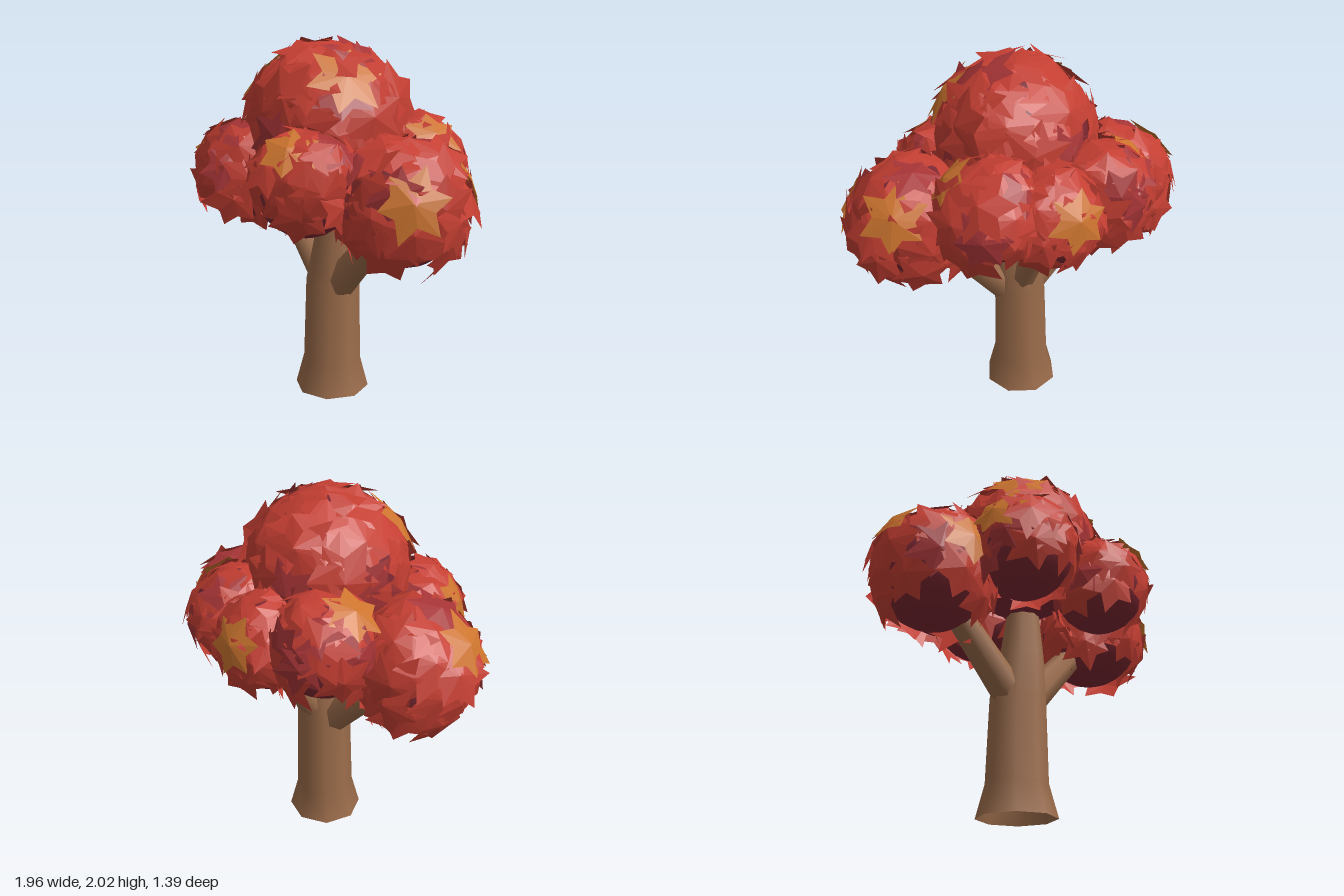
import * as THREE from 'three';

// Small seeded random generator
function seeded(seed) {
  let s = seed;
  return () => {
    s = (s * 16807) % 2147483647;
    return s / 2147483647;
  };
}

const V = (x, y, z) => new THREE.Vector3(x, y, z);
const material = (color, extra = {}) => new THREE.MeshStandardMaterial({ color, ...extra });

const bark = material(0x9a6b4a, { side: THREE.DoubleSide });
const foliageCore = material(0x7d2832);
const leafOptions = { flatShading: true, side: THREE.DoubleSide };
const redLeaf = material(0xc43e32, leafOptions);
const crimsonLeaf = material(0xa63436, leafOptions);
const orangeLeaf = material(0xcc742e, leafOptions);

// Adds one star-shaped leaf, curved over a ball of radius R, to a triangle list
function addLeaf(out, dir, R, size, rand, tilt) {
  const points = 6;
  const normal = dir.clone();
  // leaves below the middle hang down like a skirt
  if (normal.y < 0) normal.y *= 0.45;
  normal.normalize()
    .add(V(rand() - 0.5, rand() - 0.5, rand() - 0.5).multiplyScalar(tilt)).normalize();
  const turn = new THREE.Quaternion().setFromUnitVectors(V(0, 1, 0), normal);
  const spin = rand() * Math.PI * 2;
  const base = dir.clone().multiplyScalar(R);
  const rim = [];
  for (let i = 0; i < points * 2; i++) {
    const tip = i % 2 === 0;
    const a = (size / R) * (tip ? 0.85 + rand() * 0.3 : 0.58);
    const b = spin + (i / (points * 2)) * Math.PI * 2;
    const sag = 0.85 * R * (1 - Math.cos(a)) + (tip ? 0 : 0.012);
    const p = V(Math.cos(b) * Math.sin(a) * R, -sag, Math.sin(b) * Math.sin(a) * R);
    rim.push(p.applyQuaternion(turn).add(base));
  }
  rim.forEach((p, i) => {
    const q = rim[(i + 1) % rim.length];
    out.push(...base.toArray(), ...q.toArray(), ...p.toArray());
  });
}

function leafMesh(name, positions, mat) {
  const geo = new THREE.BufferGeometry();
  geo.setAttribute('position', new THREE.Float32BufferAttribute(positions, 3));
  geo.computeVertexNormals();
  const mesh = new THREE.Mesh(geo, mat);
  mesh.name = name;
  return mesh;
}

// Round clump: inner ball, spiral of red leaves, a few chosen orange leaves
function makeClump({ name, at, r, count, size, low, orange }, index) {
  const rand = seeded(index * 977 + 131);
  const group = new THREE.Group();
  group.name = name;
  group.position.set(...at);

  const core = new THREE.Mesh(new THREE.SphereGeometry(r * 0.86, 20, 14), foliageCore);
  core.name = 'foliageCore';
  group.add(core);

  const red = [], crimson = [], accent = [];
  for (let i = 0; i < count; i++) {
    const y = 1 - ((i + 0.5) / count) * (1 - low);
    const a = i * 2.39996 + rand() * 0.4;
    const h = Math.sqrt(1 - y * y);
    const dir = V(Math.cos(a) * h, y, Math.sin(a) * h);
    const R = r * (0.94 + rand() * 0.07);
    addLeaf(rand() < 0.14 ? crimson : red, dir, R, size * (0.9 + rand() * 0.25), rand, 0.4);
  }
  for (const d of orange) addLeaf(accent, V(...d).normalize(), r * 1.03, size * 1.05, rand, 0.15);

  group.add(leafMesh('redLeaves', red, redLeaf));
  group.add(leafMesh('crimsonLeaves', crimson, crimsonLeaf));
  group.add(leafMesh('orangeLeaves', accent, orangeLeaf));
  return group;
}

// Tapered limb between two points
function makeBranch(name, from, to, r0, r1) {
  const a = V(...from), b = V(...to);
  const dir = b.clone().sub(a);
  const mesh = new THREE.Mesh(new THREE.CylinderGeometry(r1, r0, dir.length(), 7), bark);
  mesh.position.copy(a).add(b).multiplyScalar(0.5);
  mesh.quaternion.setFromUnitVectors(V(0, 1, 0), dir.normalize());
  mesh.name = name;
  return mesh;
}

export function createModel() {
  const tree = new THREE.Group();
  tree.name = 'autumnTree';

  // Trunk: open flared foot, slight lean towards the top
  const profile = [[0.215, 0], [0.167, 0.18], [0.155, 0.65], [0.125, 0.9], [0.09, 1.2], [0.07, 1.4]]
    .map(([x, y]) => new THREE.Vector2(x, y));
  const trunkGeo = new THREE.LatheGeometry(profile, 8);
  const pos = trunkGeo.attributes.position;
  for (let i = 0; i < pos.count; i++) {
    pos.setX(i, pos.getX(i) + 0.05 * THREE.MathUtils.smoothstep(pos.getY(i), 0.5, 1.1));
  }
  const trunk = new THREE.Mesh(trunkGeo, bark);
  trunk.name = 'trunk';
  tree.add(trunk);

  // Branches
  tree.add(makeBranch('leftBranch', [0.09, 0.66, 0.01], [0.5, 1.08, 0.01], 0.095, 0.07));
  tree.add(makeBranch('rightBranch', [-0.07, 0.67, 0], [-0.5, 1.08, 0], 0.095, 0.07));
  tree.add(makeBranch('backBranch', [0.02, 0.73, -0.07], [0.03, 1.12, -0.37], 0.075, 0.05));

  // Foliage clumps
  const side = { r: 0.355, count: 40, size: 0.18, low: -0.62 };
  const small = { r: 0.295, count: 32, size: 0.165, low: -0.5 };
  const clumps = [
    { name: 'topFoliage', at: [0.01, 1.54, 0.04], r: 0.455, count: 56, size: 0.2, low: -0.35,
      orange: [[0.75, 0.6, 0.3], [-0.6, 0.6, 0.55]] },
    { ...side, name: 'leftFoliage', at: [0.6, 1.19, 0.02],
      orange: [[0.85, 0.25, 0.6], [0.55, 0.45, -0.8]] },
    { ...side, name: 'rightFoliage', at: [-0.6, 1.19, 0],
      orange: [[-0.05, 0.2, 1], [-0.85, 0.6, 0.1]] },
    { ...small, name: 'frontLeftFoliage', at: [0.29, 1.28, 0.38], orange: [[0.35, 0.7, 0.6]] },
    { ...small, name: 'frontRightFoliage', at: [-0.3, 1.28, 0.38], orange: [[-0.9, 0.4, 0.2]] },
    { ...small, name: 'backLeftFoliage', at: [0.31, 1.32, -0.33], orange: [[0.75, 0.7, 0.2]] },
    { ...small, name: 'backRightFoliage', at: [-0.3, 1.32, -0.33], orange: [[-0.6, 0.8, 0.05]] },
    { ...small, name: 'backFoliage', at: [0.03, 1.27, -0.39], orange: [[-0.1, 0.3, -1]] },
  ];
  clumps.forEach((c, i) => tree.add(makeClump(c, i + 1)));
  return tree;
}
